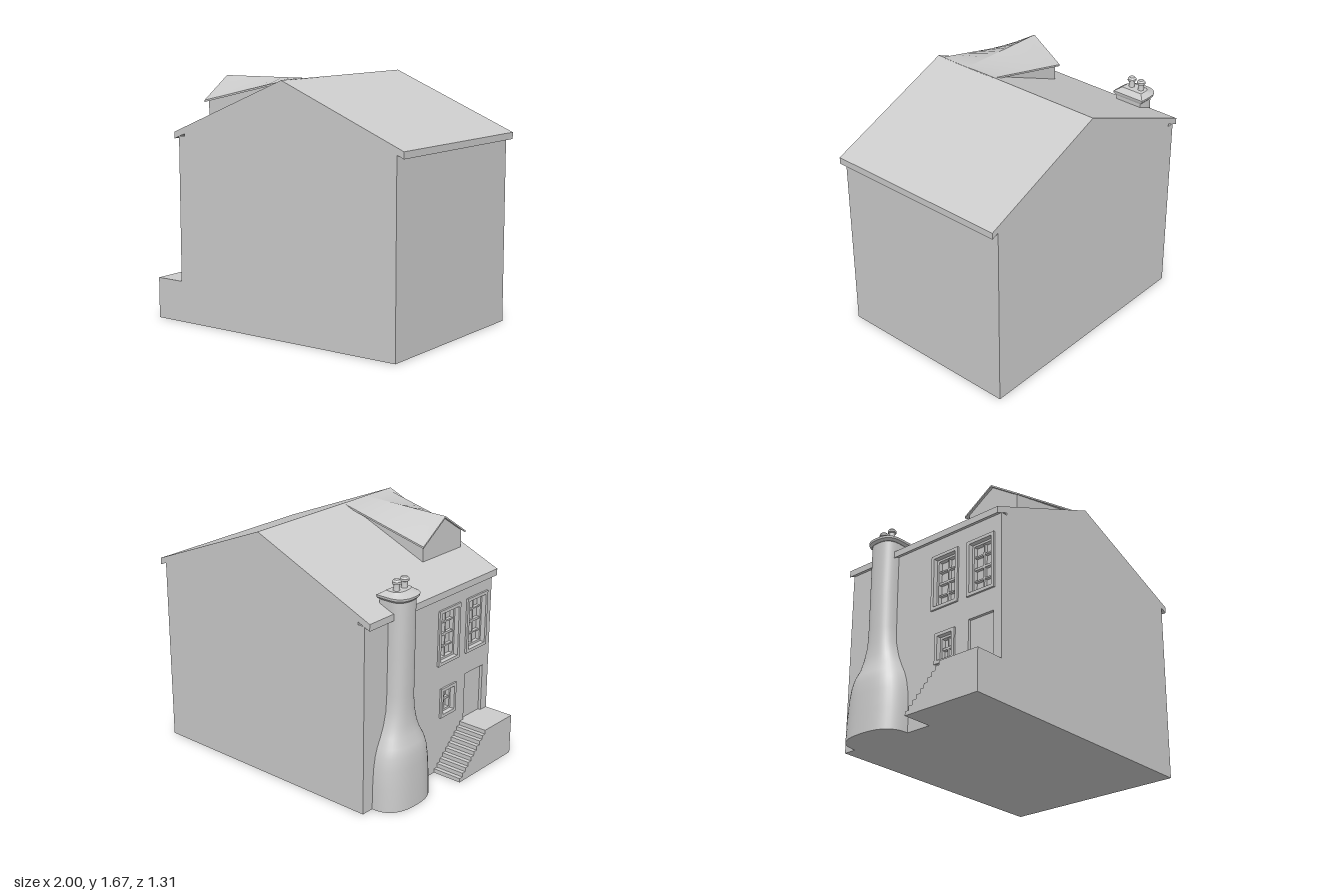
import * as THREE from 'three';
import { toCreasedNormals } from 'three/addons/utils/BufferGeometryUtils.js';

const material = new THREE.MeshStandardMaterial({ color: 0xcccccc });

function add(parent, name, geometry, x = 0, y = 0, z = 0) {
  const mesh = new THREE.Mesh(geometry, material);
  mesh.name = name;
  mesh.position.set(x, y, z);
  parent.add(mesh);
  return mesh;
}

const shapeOf = (pts) => new THREE.Shape(pts.map(([a, b]) => new THREE.Vector2(a, b)));
const rect = (z0, z1, y0, y1) => [[z0, y0], [z1, y0], [z1, y1], [z0, y1]];
const prism = (shape, depth) =>
  new THREE.ExtrudeGeometry(shape, { depth, bevelEnabled: false, curveSegments: 12 });
// Outline given in (z, y), extruded from x0 towards -x
const prismX = (shape, x0, depth) => prism(shape, depth).rotateY(-Math.PI / 2).translate(x0, 0, 0);

// Capped solid through rings of points; rings run counterclockwise about the loft direction
function loft(rings, crease = 0.6) {
  const n = rings[0].length;
  const pos = [];
  const tri = (...p) => p.forEach((v) => pos.push(...v));
  const centre = (r) => [0, 1, 2].map((k) => r.reduce((s, p) => s + p[k], 0) / n);
  const first = rings[0], last = rings[rings.length - 1];
  for (let j = 0; j < n; j++) {
    const k = (j + 1) % n;
    for (let i = 0; i + 1 < rings.length; i++) {
      const a = rings[i], b = rings[i + 1];
      tri(a[j], a[k], b[k]);
      tri(a[j], b[k], b[j]);
    }
    tri(centre(first), first[k], first[j]);
    tri(centre(last), last[j], last[k]);
  }
  const g = new THREE.BufferGeometry();
  g.setAttribute('position', new THREE.Float32BufferAttribute(pos, 3));
  return toCreasedNormals(g, crease);
}

const DEPTH = 1.31, HALF = DEPTH / 2;
const WALL = -0.79;
const RIDGE_X = 0.08;
// Openings in the entrance wall: z0, z1, y0, y1
const DOOR = [0.39, 0.59, 0.28, 0.615];
const WINDOWS = [
  { name: 'upperWindowA', box: [0.1, 0.28, 0.79, 1.13], rows: 4 },
  { name: 'upperWindowB', box: [0.4, 0.58, 0.79, 1.13], rows: 4 },
  { name: 'lowerWindow', box: [0.14, 0.26, 0.41, 0.575], rows: 2 },
];

function addHouse(root) {
  add(root, 'houseBody', prism(shapeOf([
    [-0.74, 0], [0.95, 0], [0.95, 1.271], [RIDGE_X, 1.63], [-0.74, 1.288],
  ]), DEPTH), 0, 0, -HALF);
  add(root, 'mainRoof', prism(shapeOf([
    [1, 1.25], [1, 1.295], [RIDGE_X, 1.675], [-0.83, 1.295], [-0.83, 1.25], [RIDGE_X, 1.63],
  ]), DEPTH), 0, 0, -HALF);
  const wall = shapeOf(rect(-HALF, HALF, 0, 1.27));
  for (const box of [DOOR, ...WINDOWS.map((w) => w.box)]) wall.holes.push(shapeOf(rect(...box)));
  add(root, 'entranceWall', prismX(wall, -0.74, 0.05));
  add(root, 'door', prismX(shapeOf(rect(...DOOR)), -0.735, 0.035));
}

function addWindow(root, { name, box, rows }) {
  const group = new THREE.Group();
  group.name = name;
  const [z0, z1, y0, y1] = box;
  const w = z1 - z0, h = y1 - y0, zc = (z0 + z1) / 2, yc = (y0 + y1) / 2;
  const ring = (outer, inner) => {
    const s = shapeOf(rect(z0 - outer, z1 + outer, y0 - outer, y1 + outer));
    s.holes.push(shapeOf(rect(z0 + inner, z1 - inner, y0 + inner, y1 - inner)));
    return s;
  };
  add(group, 'surround', prismX(ring(0.022, 0), -0.78, 0.023));
  add(group, 'sash', prismX(ring(0, 0.014), -0.74, 0.03));
  add(group, 'mullion', new THREE.BoxGeometry(0.022, h, 0.01), -0.751, yc, zc);
  for (let i = 1; i < rows; i++) {
    const thick = i * 2 === rows ? 0.016 : 0.01;
    add(group, 'glazingBar', new THREE.BoxGeometry(0.022, thick, w), -0.751, y0 + (h * i) / rows, zc);
  }
  root.add(group);
}

// Stairs climb towards +z onto the landing
function addStairs(root) {
  const steps = 9, top = 0.28, z0 = 0.08, z1 = 0.35;
  const pts = [[HALF, 0], [HALF, top], [z1, top]];
  for (let i = steps; i > 0; i--) {
    const y = (top * i) / (steps + 1);
    pts.push([z0 + ((z1 - z0) * i) / steps, y], [z0 + ((z1 - z0) * (i - 1)) / steps, y]);
  }
  pts.push([z0, 0]);
  add(root, 'stairsAndLanding', prismX(shapeOf(pts.reverse()), WALL, 0.21));
}

// D-shaped ring: flat towards the house, rounded outside
function dRing(y, outer, half, back = -0.72, start = WALL, power = 0.8) {
  const zc = -0.333, pts = [[back, y, zc - half]];
  for (let i = 0; i <= 20; i++) {
    const a = -Math.PI / 2 + (Math.PI * i) / 20;
    const c = Math.pow(Math.max(Math.cos(a), 0), power);
    const s = Math.sign(Math.sin(a)) * Math.pow(Math.abs(Math.sin(a)), power);
    pts.push([start + (outer - start) * c, y, zc + half * s]);
  }
  pts.push([back, y, zc + half]);
  return pts;
}

function addChimney(root) {
  const group = new THREE.Group();
  group.name = 'chimney';
  const profile = [
    [0, -0.968, 0.232], [0.15, -0.963, 0.23], [0.28, -0.956, 0.222], [0.36, -0.95, 0.208],
    [0.42, -0.937, 0.188], [0.48, -0.91, 0.158], [0.55, -0.898, 0.13], [0.64, -0.889, 0.108],
    [0.75, -0.888, 0.102], [1.0, -0.89, 0.1], [1.385, -0.89, 0.1],
  ];
  add(group, 'stack', loft(profile.map(([y, x, w]) => dRing(y, x, w)), 0.8));
  const cap = [
    [1.368, -0.893, 0.103, -0.718], [1.383, -0.908, 0.118, -0.711],
    [1.398, -0.91, 0.12, -0.71], [1.412, -0.865, 0.095, -0.735], [1.425, -0.85, 0.08, -0.75],
  ];
  add(group, 'cap', loft(cap.map(([y, x, w, b]) => dRing(y, x, w, b, -0.8, 0.8)), 0.5));
  const pot = [[0, 0], [0.024, 0], [0.02, 0.012], [0.02, 0.05], [0.029, 0.054],
    [0.029, 0.068], [0.018, 0.08], [0, 0.083]].map(([r, y]) => new THREE.Vector2(r, y));
  for (const z of [-0.372, -0.296])
    add(group, 'chimneyPot', toCreasedNormals(new THREE.LatheGeometry(pot, 20), 0.5), -0.802, 1.415, z);
  root.add(group);
}

// Gabled dormer whose eaves rise to die into the main ridge
function addDormer(root) {
  const group = new THREE.Group();
  group.name = 'dormer';
  const zc = 0.392, x0 = -0.59, x1 = 0.085, steps = 10;
  const ridge = (x) => THREE.MathUtils.mapLinear(x, x0, x1, 1.667, 1.675);
  const eave = (x) => THREE.MathUtils.mapLinear(x, x0, x1, 1.515, 1.673);
  const xs = (a) => Array.from({ length: steps + 1 }, (_, i) => a + ((x1 - a) * i) / steps);
  for (const side of [1, -1]) {
    const rings = xs(x0).map((x) => {
      const ze = zc + side * 0.228;
      const r = [[x, ridge(x), zc], [x, eave(x), ze], [x, eave(x) - 0.012, ze], [x, ridge(x) - 0.012, zc]];
      return side > 0 ? r : r.reverse();
    });
    add(group, 'dormerRoofSlope', loft(rings));
  }
  const walls = xs(-0.57).map((x) => {
    const base = 1.675 - (RIDGE_X - x) * 0.4176 - 0.03, w = 0.205;
    const top = eave(x) + (ridge(x) - eave(x)) * 0.1 - 0.008, peak = ridge(x) - 0.008;
    return [[x, peak, zc], [x, top, zc + w], [x, base, zc + w], [x, base, zc - w], [x, top, zc - w]];
  });
  add(group, 'dormerWalls', loft(walls));
  root.add(group);
}

export function createModel() {
  const root = new THREE.Group();
  root.name = 'house';
  addHouse(root);
  WINDOWS.forEach((w) => addWindow(root, w));
  addStairs(root);
  addChimney(root);
  addDormer(root);
  return root;
}
